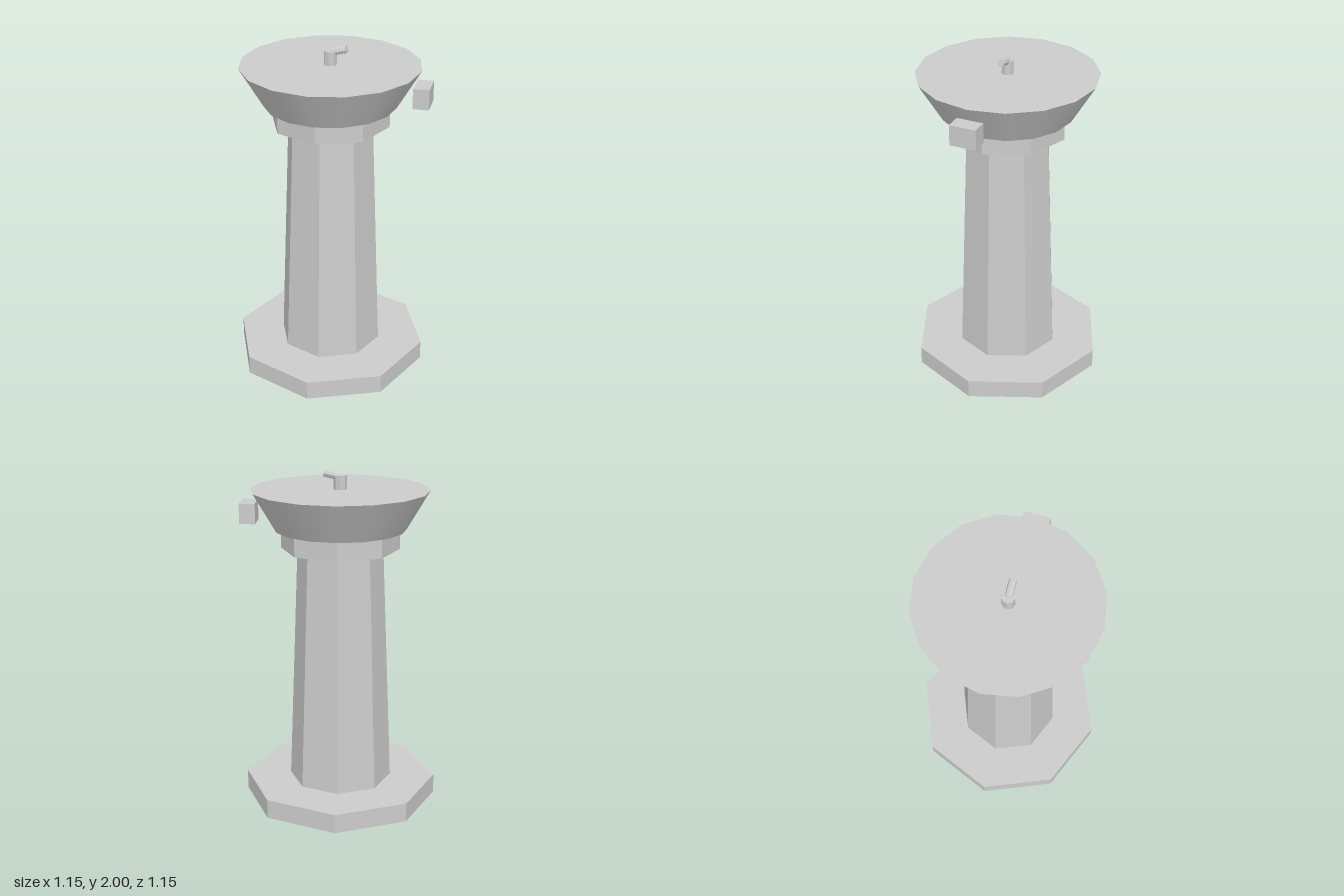
import * as THREE from 'three';

export function createModel() {
  const model = new THREE.Group();
  model.name = 'tower';

  const stone = new THREE.MeshStandardMaterial({ color: 0xcccccc });
  stone.name = 'pale grey';
  stone.flatShading = true;
  const smoothStone = stone.clone();
  smoothStone.flatShading = false;

  const add = (name, geometry, material = stone) => {
    const mesh = new THREE.Mesh(geometry, material);
    mesh.name = name;
    model.add(mesh);
    return mesh;
  };

  // Upright prism or frustum between two heights
  const tier = (name, rBottom, rTop, y0, y1, sides, material) => {
    const geometry = new THREE.CylinderGeometry(rTop, rBottom, y1 - y0, sides);
    add(name, geometry, material).position.y = (y0 + y1) / 2;
  };

  tier('base', 0.577, 0.577, 0, 0.115, 8);
  tier('column', 0.307, 0.25, 0.115, 1.54, 8);
  tier('collar', 0.346, 0.346, 1.54, 1.657, 8);
  tier('bowl', 0.383, 0.517, 1.657, 1.885, 16, smoothStone);
  tier('stem', 0.038, 0.038, 1.885, 1.965, 8);

  // Spout rising gently toward +x
  const start = new THREE.Vector3(0.003, 1.956, 0);
  const end = new THREE.Vector3(0.093, 1.979, 0);
  const axis = end.clone().sub(start);
  const spout = add('spout', new THREE.CylinderGeometry(0.022, 0.022, axis.length(), 8));
  spout.position.copy(start).add(end).multiplyScalar(0.5);
  spout.quaternion.setFromUnitVectors(new THREE.Vector3(0, 1, 0), axis.normalize());

  // Small block beside the bowl
  add('sideBlock', new THREE.BoxGeometry(0.092, 0.118, 0.154)).position.set(0.53, 1.75, 0);

  return model;
}
